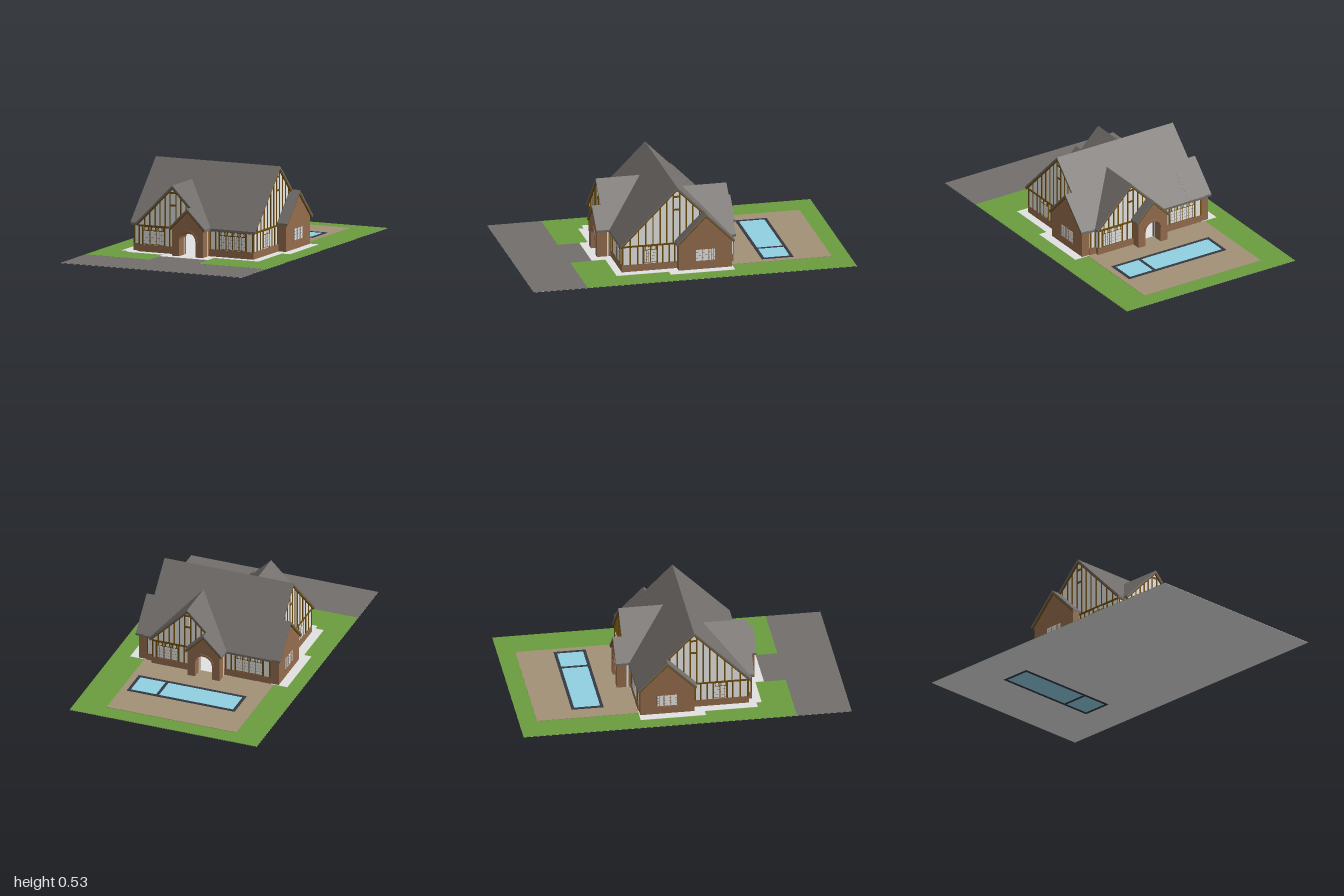
import * as THREE from 'three';

const mat = (name, color) => Object.assign(new THREE.MeshStandardMaterial({ color }), { name });
const ROOF = mat('roof slate', 0x716d6a);
const BRICK = mat('brick', 0x946c4d);
const TIMBER = mat('timber', 0x6f4e0c);
const PLASTER = mat('plaster', 0xe5e5e3);
const PAVING = mat('paving', 0xe2e2e2);
const ASPHALT = mat('asphalt', 0x736e6b);
const GRASS = mat('grass', 0x6b9d3f);
const PATIO = mat('patio', 0xa19176);
const WATER = mat('water', 0x90d0e2);
const DARK = mat('dark trim', 0x363844);

const T = 0.014; // vertical thickness of the roofs

function add(parent, name, geometry, material) {
  const mesh = new THREE.Mesh(geometry, material);
  mesh.name = name;
  parent.add(mesh);
  return mesh;
}

function box(parent, name, material, w, h, d, x, y, z) {
  const mesh = add(parent, name, new THREE.BoxGeometry(w, h, d), material);
  mesh.position.set(x, y, z);
  return mesh;
}

// Box between two x and two y limits, centred on z
const panel = (parent, name, material, x0, x1, y0, y1, z, d) =>
  box(parent, name, material, x1 - x0, y1 - y0, d, (x0 + x1) / 2, (y0 + y1) / 2, z);

// Outline extruded along z from z0 to z1
function prism(parent, name, material, shape, z0, z1) {
  const g = new THREE.ExtrudeGeometry(shape, { depth: z1 - z0, bevelEnabled: false, curveSegments: 12 });
  g.translate(0, 0, z0);
  return add(parent, name, g, material);
}

const poly = (pts) => new THREE.Shape(pts.map(([x, y]) => new THREE.Vector2(x, y)));

// Flat slab from a plan outline of [x, z] points
function slab(parent, name, material, pts, y0, y1) {
  const mesh = prism(parent, name, material, poly(pts.map(([x, z]) => [x, -z])), y0, y1);
  mesh.geometry.rotateX(-Math.PI / 2);
}

// 45 degree chevron, used for roofs and bargeboards
const chevron = (c, half, apex, t) => poly([
  [c - half, apex - half - t], [c, apex - t], [c + half, apex - half - t],
  [c + half, apex - half], [c, apex], [c - half, apex - half]]);

const bargeboard = (parent, c, half, apex, z0, z1) =>
  prism(parent, 'bargeboard', TIMBER, chevron(c, half - 0.006, apex - T + 0.002, 0.012), z0, z1);

// Roof with a timber bargeboard below its front edge
function roof(parent, name, c, half, apex, z0, z1) {
  prism(parent, name, ROOF, chevron(c, half, apex, T), z0, z1);
  bargeboard(parent, c, half, apex, z1 - 0.012, z1 - 0.002);
}

// Gabled wall below a roof of the given apex, with an optional doorway outline
function gableWall(parent, name, material, c, half, apex, z0, z1, door = []) {
  const top = apex - T;
  prism(parent, name, material, poly([
    [c - half, 0.004], ...door, [c + half, 0.004], [c + half, top - half], [c, top], [c - half, top - half]]), z0, z1);
}

const stud = (parent, x, y0, y1, z, w = 0.008) =>
  panel(parent, 'timberStud', TIMBER, x - w / 2, x + w / 2, y0, y1, z, 0.008);
const beam = (parent, x0, x1, y, z) =>
  panel(parent, 'timberBeam', TIMBER, x0, x1, y - 0.0055, y + 0.0055, z, 0.009);

// Row of leaded panels, optionally below a frieze with roundels
function windowRow(parent, x, n, pw, y0, y1, z, frame, frieze) {
  const g = new THREE.Group();
  g.name = 'window';
  g.position.set(x, 0, z);
  parent.add(g);
  const w = n * pw, h = y1 - y0, mid = (y0 + y1) / 2;
  box(g, 'windowFrame', frame, w + 0.006, h + 0.008, 0.008, 0, mid, 0);
  if (frieze) box(g, 'frieze', TIMBER, w + 0.006, 0.03, 0.008, 0, y1 + 0.015, 0);
  for (let i = 0; i < n; i++) {
    const px = (i - (n - 1) / 2) * pw, inner = pw - 0.005;
    box(g, 'pane', PLASTER, inner, h, 0.004, px, mid, 0.003);
    for (const k of [-1, 1])
      box(g, 'leadUpright', ASPHALT, 0.0011, h, 0.001, px + k * inner / 6, mid, 0.005);
    for (let k = 1; k < 4; k++)
      box(g, 'leadBar', ASPHALT, inner, 0.0011, 0.001, px, y0 + h * k / 4, 0.005);
    if (frieze) {
      const disc = add(g, 'roundel', new THREE.CylinderGeometry(0.0105, 0.0105, 0.003, 12), PLASTER);
      disc.rotation.x = Math.PI / 2;
      disc.position.set(px, y1 + 0.014, 0.004);
      for (const s of [-1, 1])
        box(g, 'friezeInfill', PLASTER, 0.004, 0.018, 0.002, px + s * (pw / 2 - 0.005), y1 + 0.014, 0.0035);
    }
  }
}

// Studs that fill a gable from the beam up to its roof, with a framed attic panel
function gableStuds(parent, c, offsets, apex, z, attic) {
  for (const o of offsets)
    for (const s of [-1, 1]) stud(parent, c + s * o, 0.165, apex - T - o, z, 0.0075);
  for (const y of attic) beam(parent, c - 0.02, c + 0.02, y, z);
  panel(parent, 'atticPane', PLASTER, c - 0.013, c + 0.013, attic[0] + 0.009, attic[1] - 0.009, z, 0.006);
}

// Long facade: timbered cross wing, arched brick porch and window wall
function facade(house, angle) {
  const f = new THREE.Group();
  f.name = 'facade';
  f.rotation.y = angle;
  house.add(f);

  // Cross wing with a doorway behind the porch
  const c = -0.125, wz = 0.36;
  gableWall(f, 'wingWall', PLASTER, c, 0.23, 0.425, wz - 0.01, wz,
    [[-0.053, 0.004], [-0.053, 0.146], [0.053, 0.146], [0.053, 0.004]]);
  box(f, 'wingSideWall', PLASTER, 0.008, 0.172, 0.03, -0.351, 0.09, 0.345);
  panel(f, 'wingBrickBase', BRICK, -0.358, -0.056, 0.004, 0.05, 0.348, 0.03);
  roof(f, 'wingRoof', c, 0.245, 0.425, 0.1, 0.375);
  beam(f, -0.355, 0.1, 0.165, wz);
  gableStuds(f, c, [0.02, 0.053, 0.087, 0.12, 0.155, 0.19], 0.425, wz, [0.302, 0.378]);
  for (const x of [-0.351, -0.328, -0.182, -0.148, -0.108]) stud(f, x, 0.05, 0.165, wz);
  windowRow(f, -0.255, 3, 0.0455, 0.056, 0.135, wz, TIMBER, true);

  // Main wall either side of the wing
  const mz = 0.335;
  for (const [x0, x1] of [[-0.4, -0.348], [0.09, 0.4]]) {
    panel(f, 'mainWall', PLASTER, x0, x1, 0.004, 0.178, mz - 0.005, 0.01);
    panel(f, 'mainBrickBase', BRICK, x0 - 0.003, x1 + 0.003, 0.004, 0.05, mz - 0.004, 0.014);
    beam(f, x0, x1, 0.165, mz);
  }
  for (const x of [-0.395, -0.362, 0.112, 0.148, 0.172, 0.354, 0.396]) stud(f, x, 0.05, 0.165, mz);
  windowRow(f, 0.263, 4, 0.0435, 0.056, 0.135, mz, TIMBER, true);

  // Porch with an arched opening
  const r = 0.055, spring = 0.1, top = 0.3 - T, half = 0.1035;
  const front = poly([[r, 0.004], [half, 0.004], [half, top - half], [0, top], [-half, top - half], [-half, 0.004], [-r, 0.004], [-r, spring]]);
  front.absarc(0, spring, r, Math.PI, 0, true);
  prism(f, 'porchWall', BRICK, front, 0.33, 0.42);
  const ring = new THREE.Shape();
  ring.absarc(0, spring, r + 0.012, 0, Math.PI, false);
  ring.absarc(0, spring, r, Math.PI, 0, true);
  prism(f, 'archRing', BRICK, ring, 0.419, 0.424);
  roof(f, 'porchRoof', 0, 0.12, 0.3, 0.3, 0.428);
}

// Gable end: timbered main gable with a lower brick bay beside it
function gableEnd(house, s) {
  const e = new THREE.Group();
  e.name = 'gableEnd';
  e.rotation.y = s * Math.PI / 2;
  house.add(e);
  const z = 0.4, bay = s * 0.1675;
  gableWall(e, 'endWall', PLASTER, 0, 0.335, 0.527, z - 0.01, z);
  panel(e, 'endBrickBase', BRICK, -0.338, 0.338, 0.004, 0.05, z - 0.004, 0.014);
  bargeboard(e, 0, 0.35, 0.527, 0.4055, 0.4155);
  beam(e, -0.335, 0.335, 0.165, z);
  gableStuds(e, 0, [0.02, 0.06, 0.1, 0.145, 0.19, 0.235, 0.285], 0.527, z, [0.38, 0.462]);
  for (const a of [0.331, 0.285, 0.24, 0.205, 0.119, 0.085, 0.045, 0.01]) stud(e, -s * a, 0.05, 0.165, z);
  windowRow(e, -s * 0.162, 2, 0.039, 0.06, 0.135, z, TIMBER, true);

  gableWall(e, 'bayWall', BRICK, bay, 0.165, 0.3605, 0.39, 0.4525);
  roof(e, 'bayRoof', bay, 0.18, 0.3605, 0.3, 0.467);
  windowRow(e, bay, 3, 0.041, 0.06, 0.13, 0.4495, BRICK, false);
  box(e, 'windowSill', BRICK, 0.135, 0.006, 0.01, bay, 0.054, 0.452);
}

function grounds(root) {
  const g = new THREE.Group();
  g.name = 'grounds';
  root.add(g);
  box(g, 'foundation', PAVING, 1.21, 0.001, 2, 0, 0.0015, 0);
  slab(g, 'driveway', ASPHALT, [[-0.605, 0.666], [-0.172, 0.666], [-0.172, 0.5], [0.15, 0.5],
    [0.15, 0.666], [0.605, 0.666], [0.605, 1], [-0.605, 1]], 0.0018, 0.0038);
  slab(g, 'lawn', GRASS, [[-0.605, -1], [0.605, -1], [0.605, 0.666], [0.15, 0.666], [0.15, 0.4],
    [-0.172, 0.4], [-0.172, 0.666], [-0.605, 0.666]], 0.0018, 0.0042);
  slab(g, 'terracePaving', PAVING, [[-0.516, -0.272], [0.5, -0.272], [0.5, 0.126], [0.447, 0.126],
    [0.447, 0.449], [0.15, 0.449], [0.15, 0.533], [-0.172, 0.533], [-0.172, 0.481], [-0.415, 0.481],
    [-0.415, 0.449], [-0.468, 0.449], [-0.468, 0.126], [-0.516, 0.126]], 0.002, 0.006);
  slab(g, 'patio', PATIO, [[-0.43, -0.891], [0.408, -0.891], [0.408, -0.272], [-0.43, -0.272]], 0.002, 0.0062);

  // Pool, open to the underside as well
  const x0 = -0.33, x1 = 0.367, z0 = -0.664, z1 = -0.469, b = 0.018;
  const cx = (x0 + x1) / 2, cz = (z0 + z1) / 2;
  box(g, 'poolWater', WATER, x1 - x0 - b, 0.0074, z1 - z0 - b, cx, 0.0041, cz);
  for (const z of [z0 + b / 2, z1 - b / 2]) box(g, 'poolRim', DARK, x1 - x0, 0.0095, b, cx, 0.00475, z);
  for (const x of [x0 + b / 2, 0.176, x1 - b / 2]) box(g, 'poolRim', DARK, b, 0.0095, z1 - z0 - 2 * b, x, 0.00475, cz);
}

export function createModel() {
  const root = new THREE.Group();
  root.name = 'houseWithGarden';
  grounds(root);

  const house = new THREE.Group();
  house.name = 'house';
  house.position.set(-0.0065, 0, 0.0665);
  root.add(house);

  // Main roof, ridge running along x
  const mainRoof = prism(house, 'mainRoof', ROOF, chevron(0, 0.35, 0.527, T), -0.4175, 0.4175);
  mainRoof.rotation.y = Math.PI / 2;

  for (const angle of [0, Math.PI]) facade(house, angle);
  for (const s of [1, -1]) gableEnd(house, s);
  return root;
}
